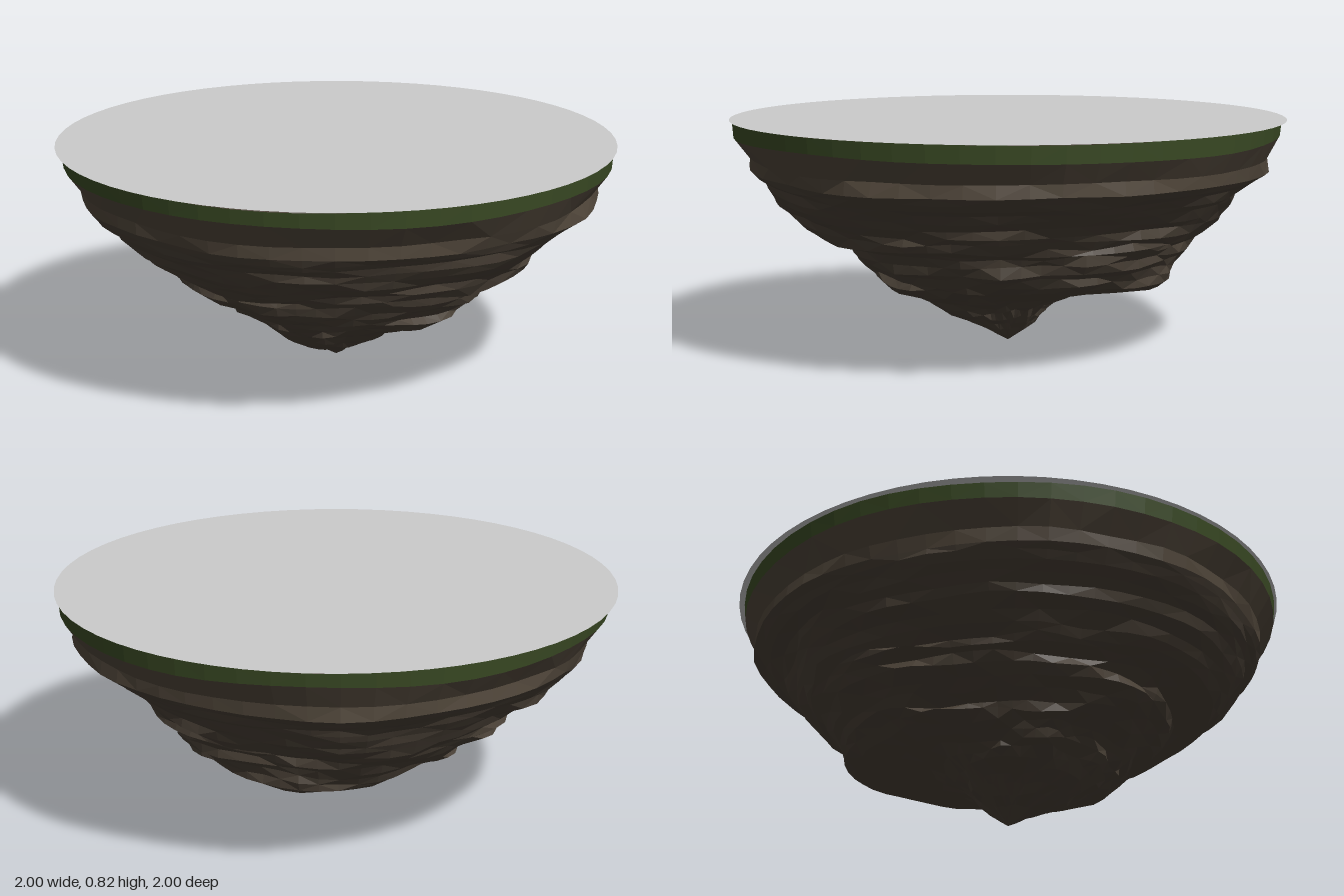
import * as THREE from 'three';

const SEGMENTS = 56;
const TAU = Math.PI * 2;

// Height, then radius toward +x, +z, -x, -z
const LEVELS = [
  [0.82, 0.99, 0.99, 0.98, 0.98],
  [0.765, 0.985, 0.985, 0.97, 0.975],
  [0.69, 0.945, 0.925, 0.91, 0.93],
  [0.645, 0.935, 0.92, 0.9, 0.92],
  [0.6, 0.88, 0.885, 0.87, 0.85],
  [0.55, 0.82, 0.845, 0.8, 0.8],
  [0.49, 0.745, 0.79, 0.75, 0.77],
  [0.435, 0.71, 0.745, 0.69, 0.73],
  [0.4, 0.63, 0.62, 0.61, 0.68],
  [0.34, 0.59, 0.58, 0.585, 0.65],
  [0.29, 0.53, 0.51, 0.48, 0.62],
  [0.24, 0.44, 0.44, 0.39, 0.53],
  [0.2, 0.3, 0.38, 0.32, 0.29],
  [0.15, 0.19, 0.31, 0.25, 0.16],
  [0.1, 0.12, 0.22, 0.16, 0.12],
  [0.05, 0.065, 0.1, 0.075, 0.07],
  [0, 0, 0, 0, 0],
];

// Repeatable value in -1..1 for a pair of whole numbers
function hash(i, j) {
  const s = Math.sin(i * 127.1 + j * 311.7) * 43758.5453;
  return (s - Math.floor(s)) * 2 - 1;
}

// Smooth noise around the ring, with the given number of knots
function ringNoise(turn, knots, seed) {
  const t = turn * knots;
  const i = Math.floor(t);
  const f = t - i;
  const w = f * f * (3 - 2 * f);
  return hash(i % knots, seed) * (1 - w) + hash((i + 1) % knots, seed) * w;
}

// Radius blended between the four measured directions
function radiusAt(level, turn) {
  const q = (turn * 4) % 4;
  const i = Math.floor(q);
  const w = (1 - Math.cos((q - i) * Math.PI)) / 2;
  return level[1 + i] * (1 - w) + level[1 + ((i + 1) % 4)] * w;
}

// All rings, with an extra one halfway between neighbouring lower levels
function makeRings() {
  const rows = [];
  LEVELS.forEach((level, i) => {
    rows.push(level);
    const next = LEVELS[i + 1];
    if (i > 2 && next) rows.push(level.map((v, k) => (v + next[k]) / 2));
  });
  return rows.map((row, r) => {
    const depth = 1 - row[0] / 0.82;
    const rough = r < 2 ? 0 : Math.min(1, depth * 2.2) * Math.min(1, row[0] / 0.15);
    return Array.from({ length: SEGMENTS }, (_, s) => {
      const turn = s / SEGMENTS;
      const a = turn * TAU;
      const crag = ringNoise(turn, 9, Math.floor(r / 3)) * 0.03 + ringNoise(turn, 26, r + 40) * 0.02;
      const radius = radiusAt(row, turn) + rough * crag;
      const lift = rough * (ringNoise(turn, 11, 90) * 0.016 + ringNoise(turn, 28, r + 140) * 0.009);
      const rimWave = r < 2 ? ringNoise(turn, 12, 200 + r) * 0.006 : 0;
      return [Math.cos(a) * radius, Math.max(0, row[0] + lift + rimWave), Math.sin(a) * radius];
    });
  });
}

// Faceted skin joining consecutive rings, listed from top to bottom
function skin(rings) {
  const indices = [];
  for (let r = 0; r < rings.length - 1; r++) {
    for (let s = 0; s < SEGMENTS; s++) {
      const a = r * SEGMENTS + s;
      const b = r * SEGMENTS + ((s + 1) % SEGMENTS);
      const c = a + SEGMENTS;
      const d = b + SEGMENTS;
      if ((r + s) % 2) indices.push(a, b, c, b, d, c);
      else indices.push(a, b, d, a, d, c);
    }
  }
  const geometry = new THREE.BufferGeometry();
  geometry.setAttribute('position', new THREE.Float32BufferAttribute(rings.flat(2), 3));
  geometry.setIndex(indices);
  geometry.computeVertexNormals();
  return geometry;
}

function addPart(group, name, geometry, color) {
  const material = new THREE.MeshStandardMaterial({ color, flatShading: true, side: THREE.DoubleSide });
  const mesh = new THREE.Mesh(geometry, material);
  mesh.name = name;
  group.add(mesh);
  return mesh;
}

export function createModel() {
  const group = new THREE.Group();
  group.name = 'floatingIsland';
  const rings = makeRings();

  // Flat ground on top
  const ground = new THREE.CircleGeometry(1, 64).rotateX(-Math.PI / 2);
  addPart(group, 'ground', ground, 0xcccccc).position.y = 0.825;

  // Thin grassy rim, pale soil layer and the craggy underside
  addPart(group, 'grassRim', skin(rings.slice(0, 2)), 0x3a4a24);
  addPart(group, 'soilLayer', skin(rings.slice(1, 4)), 0x50463a);
  addPart(group, 'rockUnderside', skin(rings.slice(3)), 0x483f35);

  return group;
}
